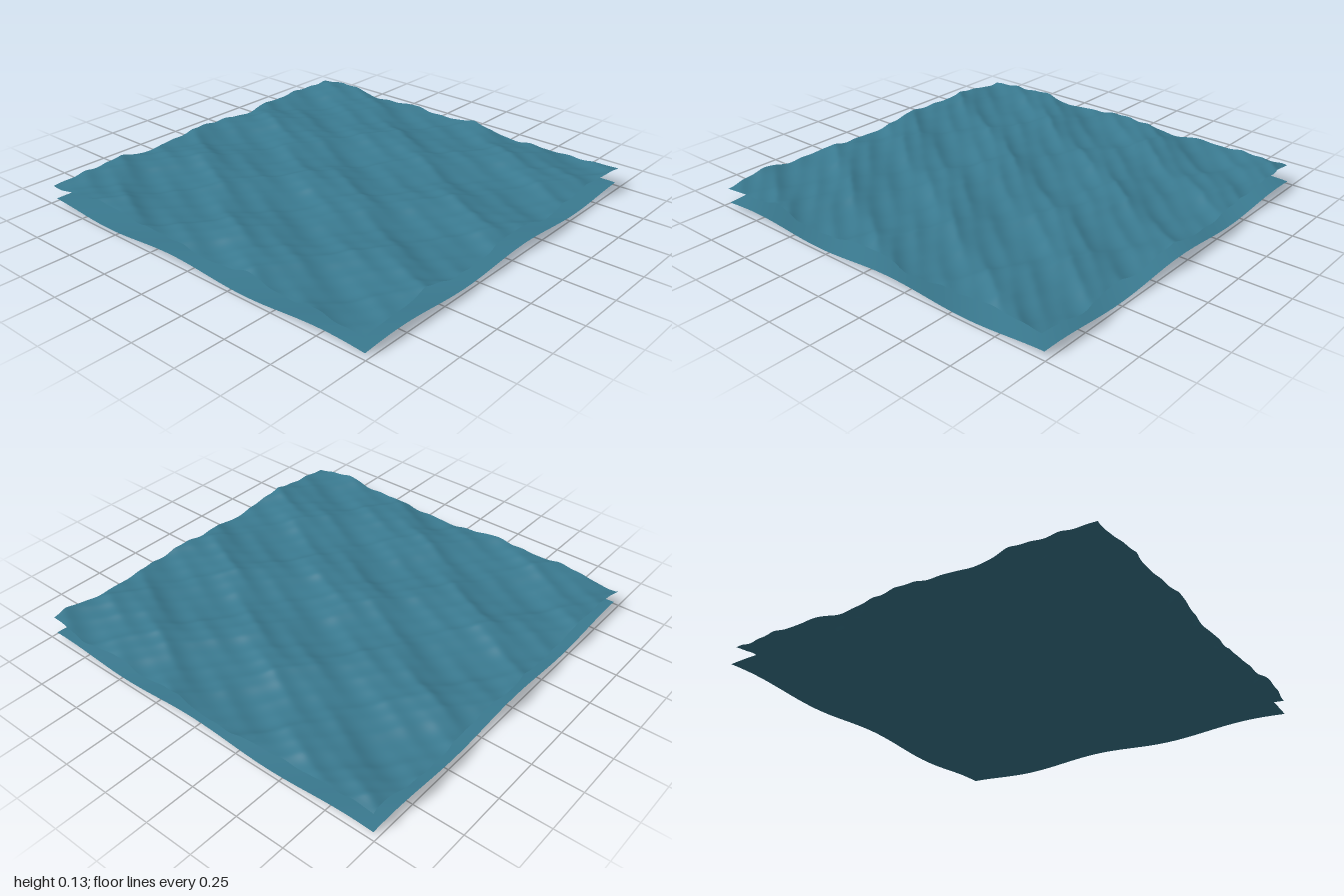
import * as THREE from 'three';

const SIZE = 1.96;

// Rolling waves for the surface: [dirX, dirZ, wavelength, amplitude, phase]
const surfaceWaves = [
  [-0.5, 0.87, 0.5, 0.009, 0.6],
  [0.84, 0.54, 0.4, 0.008, 1.9],
  [0.3, 0.95, 0.62, 0.007, 0.2],
  [-0.55, 0.83, 0.21, 0.004, 2.5],
  [0.87, 0.5, 0.17, 0.003, 4.1],
  [-0.35, 0.94, 0.11, 0.0015, 1.2],
  [0.75, 0.66, 0.09, 0.0015, 3.3],
];

// One gentle diagonal swell for the lower sheet
const bedWaves = [[0.707, 0.707, 0.635, 0.0125, 1.9]];

// A sheet whose vertices are lifted by waves and pulled toward the crests
function waveSheet(name, segments, height, waves, pull, material) {
  const geometry = new THREE.PlaneGeometry(SIZE, SIZE, segments, segments).rotateX(-Math.PI / 2);
  const position = geometry.attributes.position;
  for (let i = 0; i < position.count; i++) {
    const x = position.getX(i);
    const z = position.getZ(i);
    let px = x, py = height, pz = z;
    for (const [dx, dz, length, amplitude, phase] of waves) {
      const angle = (2 * Math.PI / length) * (dx * x + dz * z) + phase;
      px += pull * amplitude * dx * Math.cos(angle);
      pz += pull * amplitude * dz * Math.cos(angle);
      py += amplitude * Math.sin(angle);
    }
    position.setXYZ(i, px, py, pz);
  }
  geometry.computeVertexNormals();
  const mesh = new THREE.Mesh(geometry, material);
  mesh.name = name;
  return mesh;
}

export function createModel() {
  const water = new THREE.MeshStandardMaterial({ color: 0x3a7a90, side: THREE.DoubleSide });
  water.name = 'water blue';

  const model = new THREE.Group();
  model.name = 'waterSurface';
  model.add(
    waveSheet('rippledSurface', 160, 0.107, surfaceWaves, 1, water),
    waveSheet('lowerSwell', 64, 0.0135, bedWaves, 0, water),
  );
  return model;
}
